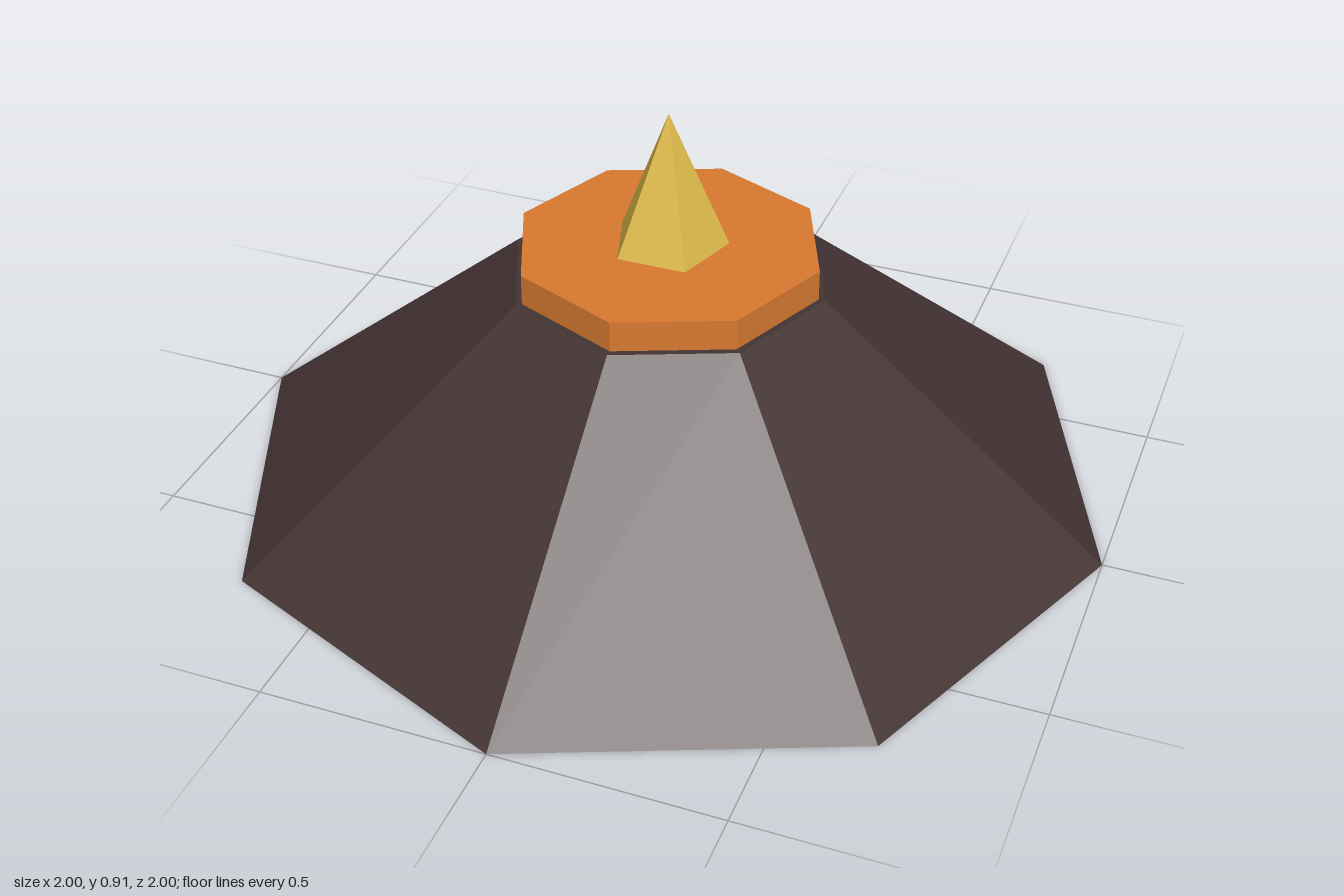
import * as THREE from 'three';

const material = (name, color) => {
  const m = new THREE.MeshStandardMaterial({ color, flatShading: true });
  m.name = name;
  return m;
};

export function createModel() {
  const model = new THREE.Group();
  const rock = material('dark rock', 0x443434);
  const orange = material('orange', 0xd97a30);
  const gold = material('gold', 0xe0bc4a);

  // Faceted, tapered solid standing on height y
  const addTaper = (name, mat, topRadius, bottomRadius, height, y, sides) => {
    const geometry = topRadius > 0
      ? new THREE.CylinderGeometry(topRadius, bottomRadius, height, sides)
      : new THREE.ConeGeometry(bottomRadius, height, sides);
    const mesh = new THREE.Mesh(geometry, mat);
    mesh.name = name;
    mesh.position.y = y + height / 2;
    model.add(mesh);
    return mesh;
  };

  // Eight-sided sloping mound
  addTaper('mound', rock, 0.355, 1, 0.53, 0, 8);
  // Flat slab covering the summit
  addTaper('summitSlab', orange, 0.34, 0.34, 0.07, 0.53, 8);
  // Five-sided spike with one edge towards the back
  addTaper('spike', gold, 0, 0.13, 0.31, 0.6, 5).rotation.y = Math.PI;

  return model;
}
